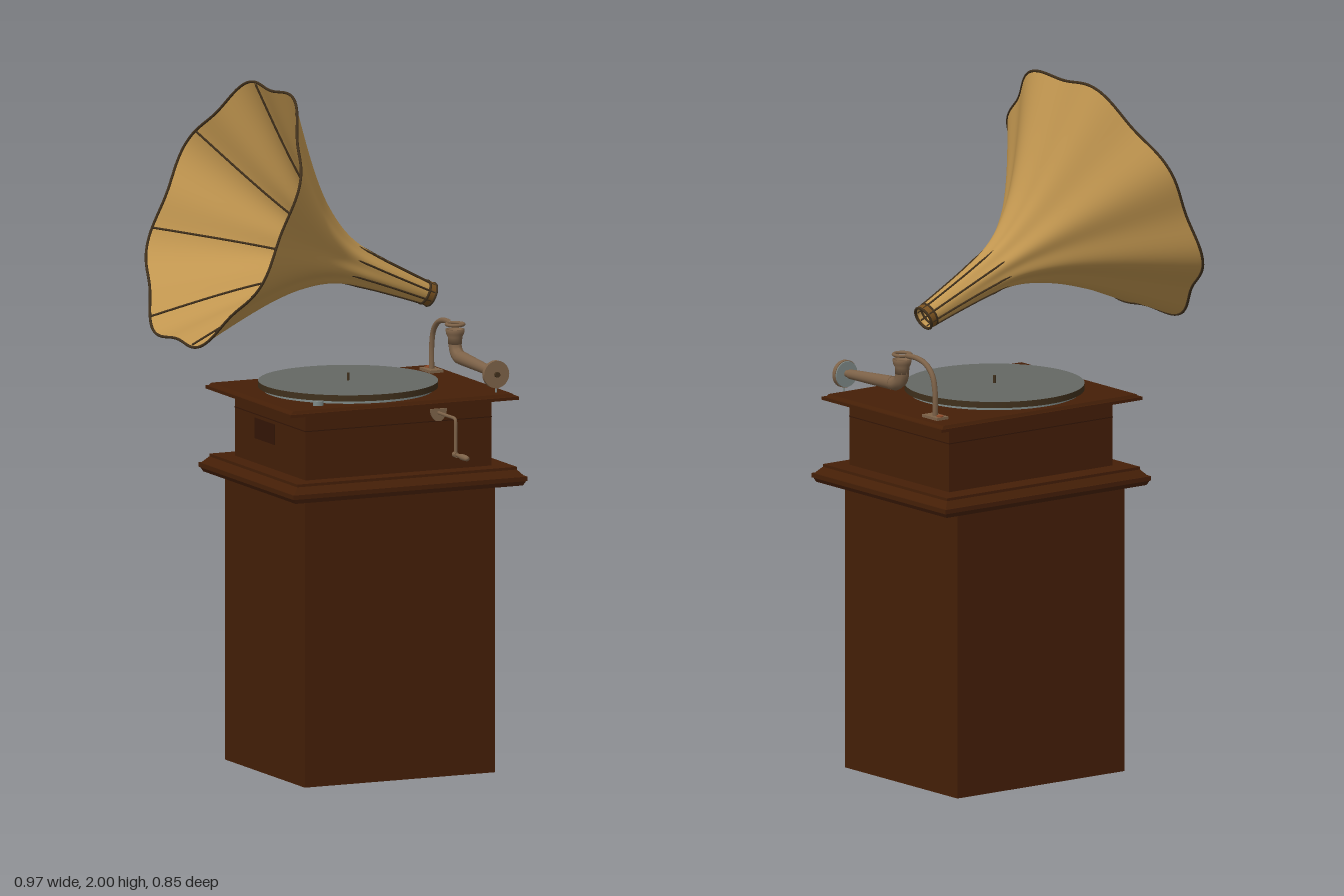
import * as THREE from 'three';

const V = (x, y, z) => new THREE.Vector3(x, y, z);
const mat = (name, color, side = THREE.FrontSide) => {
  const m = new THREE.MeshStandardMaterial({ color, side });
  m.name = name;
  return m;
};

export function createModel() {
  const wood = mat('wood', 0x451f07);
  const darkWood = mat('dark wood', 0x341605);
  const brass = mat('brass', 0xc0954f, THREE.DoubleSide);
  const darkBrass = mat('dark brass', 0x77501f, THREE.DoubleSide);
  const darkTrim = mat('dark trim', 0x40301c);
  const bronze = mat('bronze', 0x7d6248);
  const copper = mat('copper', 0x8f4d2c);
  const grey = mat('record grey', 0x646863);
  const steel = mat('steel', 0x7f8a88);

  const root = new THREE.Group();
  const add = (name, geo, material, parent = root) => {
    const mesh = new THREE.Mesh(geo, material);
    mesh.name = name;
    parent.add(mesh);
    return mesh;
  };

  // Box given by its limits
  const box = (name, m, x0, x1, y0, y1, z0, z1) =>
    add(name, new THREE.BoxGeometry(x1 - x0, y1 - y0, z1 - z0), m)
      .position.set((x0 + x1) / 2, (y0 + y1) / 2, (z0 + z1) / 2);

  // Box with a different size at top and bottom
  const bevel = (name, m, cx, cz, y0, y1, w0, d0, w1, d1) => {
    const g = new THREE.BoxGeometry(1, y1 - y0, 1).toNonIndexed();
    const p = g.attributes.position;
    for (let i = 0; i < p.count; i++) {
      const top = p.getY(i) > 0;
      p.setX(i, p.getX(i) * (top ? w1 : w0));
      p.setZ(i, p.getZ(i) * (top ? d1 : d0));
    }
    g.computeVertexNormals();
    add(name, g, m).position.set(cx, (y0 + y1) / 2, cz);
  };

  // Round rod from a to b
  const rod = (name, m, a, b, ra, rb = ra, sides = 20) => {
    const dir = b.clone().sub(a);
    const mesh = add(name, new THREE.CylinderGeometry(rb, ra, dir.length(), sides), m);
    mesh.position.copy(a).add(b).multiplyScalar(0.5);
    mesh.quaternion.setFromUnitVectors(V(0, 1, 0), dir.normalize());
    return mesh;
  };

  const tube = (name, m, points, r, parent = root, closed = false, segs = 40) =>
    add(name, new THREE.TubeGeometry(new THREE.CatmullRomCurve3(points, closed), segs, r, 8, closed), m, parent);

  // Cabinet and stepped moulding
  box('cabinet', wood, -0.2, 0.407, 0, 0.845, -0.29, 0.24);
  bevel('mouldingFoot', wood, 0.108, -0.015, 0.84, 0.853, 0.725, 0.615, 0.74, 0.625);
  bevel('mouldingStep', wood, 0.108, -0.015, 0.853, 0.866, 0.746, 0.63, 0.746, 0.63);
  bevel('mouldingSlope', wood, 0.108, -0.015, 0.866, 0.885, 0.735, 0.62, 0.7, 0.585);
  bevel('mouldingTop', wood, 0.108, -0.015, 0.885, 0.893, 0.7, 0.585, 0.7, 0.585);

  // Motor box and its lid
  box('motorBox', wood, -0.19, 0.402, 0.89, 1.09, -0.245, 0.225);
  box('motorBoxSeam', darkWood, -0.191, 0.403, 1.034, 1.037, -0.246, 0.226);
  box('sidePanel', darkWood, -0.192, -0.188, 0.965, 1.025, -0.11, 0.02);
  bevel('lidEdge', wood, 0.106, -0.016, 1.086, 1.095, 0.73, 0.565, 0.73, 0.565);
  bevel('lid', wood, 0.106, -0.018, 1.095, 1.103, 0.715, 0.55, 0.7, 0.542);

  // Turntable, record and spindle
  add('turntable', new THREE.CylinderGeometry(0.245, 0.245, 0.012, 64), steel).position.set(0.061, 1.107, -0.016);
  add('record', new THREE.CylinderGeometry(0.259, 0.259, 0.018, 64), [darkTrim, grey, grey])
    .position.set(0.061, 1.121, -0.016);
  rod('spindle', darkTrim, V(0.061, 1.12, -0.016), V(0.061, 1.152, -0.016), 0.004);
  rod('speedKnob', steel, V(-0.135, 1.1, 0.194), V(-0.135, 1.116, 0.194), 0.016).scale.z = 0.7;

  // Horn: s runs from throat to mouth, t goes round from the underside
  const L = 0.712;
  const profile = new THREE.SplineCurve([
    [0, 0.032], [0.1, 0.04], [0.2, 0.05], [0.28, 0.063], [0.35, 0.088], [0.43, 0.135],
    [0.5, 0.19], [0.57, 0.254], [0.64, 0.323], [L, 0.396],
  ].map(([s, r]) => new THREE.Vector2(s, r)));
  const hornPoint = (u, t, offset = 0) => {
    const { x: s, y: r0 } = profile.getPoint(u);
    const r = r0 + offset + 0.015 * Math.pow(s / L, 2) * Math.cos(8 * (t - Math.PI / 8));
    return V(-r * Math.cos(t), s, r * Math.sin(t));
  };
  const horn = new THREE.Group();
  horn.name = 'horn';
  horn.position.set(0.325, 1.36, -0.03);
  horn.rotation.z = 1.167;
  root.add(horn);

  const rows = 40, cols = 128, pos = [], idx = [];
  for (let i = 0; i <= rows; i++) {
    for (let j = 0; j < cols; j++) {
      pos.push(...hornPoint(i / rows, (j / cols) * Math.PI * 2).toArray());
      if (i === rows) continue;
      const a = i * cols + j, b = i * cols + ((j + 1) % cols);
      idx.push(a, b, a + cols, b, b + cols, a + cols);
    }
  }
  const bell = new THREE.BufferGeometry();
  bell.setAttribute('position', new THREE.Float32BufferAttribute(pos, 3));
  bell.setIndex(idx);
  bell.computeVertexNormals();
  add('hornBell', bell, brass, horn);

  // Rim, ribs inside the bell and raised ribs on the neck
  const rim = [];
  for (let j = 0; j < 96; j++) rim.push(hornPoint(1, (j / 96) * Math.PI * 2));
  tube('hornRim', darkTrim, rim, 0.004, horn, true, 192);
  for (let k = 0; k < 8; k++) {
    const t = Math.PI / 12 + (k * Math.PI) / 4;
    const inner = [], outer = [];
    for (let i = 0; i <= 14; i++) {
      inner.push(hornPoint(0.34 + (0.66 * i) / 14, t, -0.0055));
      outer.push(hornPoint((0.34 * i) / 14, t, 0.001 - 0.004 * Math.max(0, (i - 11) / 3)));
    }
    tube('hornRib', darkTrim, inner, 0.0032, horn);
    tube('neckRib', darkTrim, outer, 0.003, horn);
  }
  const collar = add('throatCollar', new THREE.CylinderGeometry(0.036, 0.035, 0.022, 32, 1, true), darkBrass, horn);
  collar.position.y = 0.006;
  for (const y of [-0.005, 0.017]) {
    const ring = add('throatRing', new THREE.TorusGeometry(0.034, 0.004, 8, 32), darkTrim, horn);
    ring.rotation.x = Math.PI / 2;
    ring.position.y = y;
  }

  // Tone arm: sound box, tapered tube, elbow and cup
  const X = 0.411;
  rod('soundBox', bronze, V(X, 1.16, 0.229), V(X, 1.16, 0.242), 0.04, 0.04, 32);
  rod('soundBoxBack', steel, V(X, 1.16, 0.225), V(X, 1.16, 0.229), 0.038, 0.038, 32);
  rod('soundBoxHub', darkTrim, V(X, 1.16, 0.242), V(X, 1.16, 0.25), 0.008);
  rod('needle', steel, V(X, 1.16, 0.238), V(X, 1.108, 0.238), 0.003);
  rod('armNeck', bronze, V(X, 1.162, 0.23), V(X, 1.163, 0.2), 0.01);
  rod('armTube', bronze, V(X, 1.163, 0.21), V(X, 1.172, 0.01), 0.014, 0.02);
  tube('armElbow', bronze, [V(X, 1.171, 0.02), V(X, 1.173, -0.005), V(X, 1.185, -0.026),
    V(X, 1.205, -0.035), V(X, 1.225, -0.035)], 0.02);
  add('armCup', new THREE.LatheGeometry([[0, 0], [0.02, 0], [0.021, 0.02], [0.026, 0.03], [0.028, 0.043],
    [0.022, 0.043], [0.018, 0.034], [0, 0.034]].map(([r, y]) => new THREE.Vector2(r, y)), 32), bronze)
    .position.set(X, 1.207, -0.035);

  // Curved bracket with its ring and foot
  const ring = add('bracketRing', new THREE.TorusGeometry(0.025, 0.005, 10, 32), bronze);
  ring.rotation.x = Math.PI / 2;
  ring.position.set(X, 1.264, -0.035);
  tube('bracket', bronze, [V(X, 1.264, -0.06), V(X, 1.264, -0.11), V(X, 1.252, -0.15),
    V(X, 1.225, -0.178), V(X, 1.18, -0.19), V(X, 1.1, -0.19)], 0.008);
  box('bracketFoot', bronze, 0.389, 0.431, 1.1, 1.111, -0.225, -0.155);
  rod('footScrew', copper, V(X, 1.11, -0.213), V(X, 1.115, -0.213), 0.01);

  // Crank with flange, arm and turned handle
  const C = 0.232;
  const fan = new THREE.Shape();
  fan.moveTo(-0.026, 0.012);
  fan.lineTo(0.026, 0.012);
  fan.quadraticCurveTo(0.026, -0.012, 0.008, -0.024);
  fan.lineTo(-0.008, -0.024);
  fan.quadraticCurveTo(-0.026, -0.012, -0.026, 0.012);
  add('crankFlange', new THREE.ExtrudeGeometry(fan, { depth: 0.006, bevelEnabled: false }), bronze)
    .position.set(C, 1.06, 0.224);
  tube('crankArm', bronze, [V(C, 1.06, 0.225), V(C, 1.06, 0.28), V(C, 1.06, 0.33), V(C, 1.058, 0.339),
    V(C, 1.05, 0.342), V(C, 1.0, 0.342), V(C, 0.955, 0.342)], 0.005);
  rod('crankCollar', bronze, V(C, 0.955, 0.333), V(C, 0.955, 0.35), 0.008);
  const handle = add('crankHandle', new THREE.LatheGeometry([[0, 0], [0.005, 0], [0.005, 0.015], [0.009, 0.04],
    [0.009, 0.06], [0.007, 0.074], [0, 0.076]].map(([r, y]) => new THREE.Vector2(r, y)), 20), bronze);
  handle.rotation.x = Math.PI / 2;
  handle.position.set(C, 0.955, 0.346);

  return root;
}
